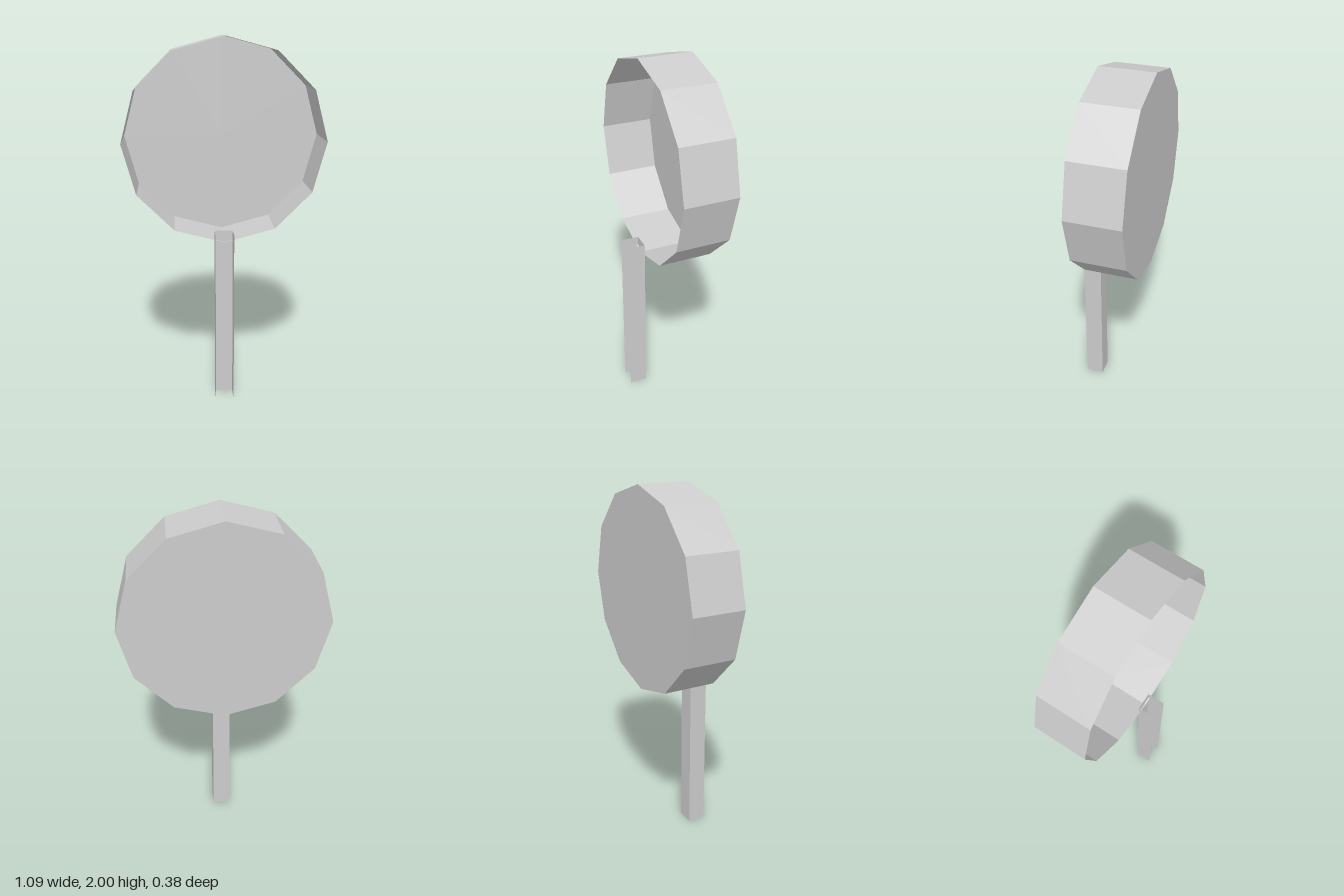
import * as THREE from 'three';

const material = new THREE.MeshStandardMaterial({
  color: 0xcccccc,
  flatShading: true,
  side: THREE.DoubleSide,
});

export function createModel() {
  const model = new THREE.Group();
  const add = (name, geometry, x, y, z) => {
    const mesh = new THREE.Mesh(geometry, material);
    mesh.name = name;
    mesh.position.set(x, y, z);
    model.add(mesh);
  };

  const radius = 0.546, sides = 12;
  const back = -0.19, front = 0.102;
  const centreY = 2 - radius;

  // Thin twelve-sided wall, open at the front, with a corner at the top
  const wall = new THREE.CylinderGeometry(radius, radius, front - back, sides, 1, true);
  wall.rotateX(Math.PI / 2);
  add('panWall', wall, 0, centreY, (front + back) / 2);

  // Flat base closing the back of the pan
  const base = new THREE.CircleGeometry(radius, sides);
  base.rotateY(Math.PI);
  add('panBase', base, 0, centreY, back);

  // Three-sided channel handle: open at the front, top and bottom
  const width = 0.1, height = 0.973;
  const corner = width * Math.SQRT1_2;
  const handle = new THREE.CylinderGeometry(
    corner, corner, height, 3, 1, true, Math.PI / 4, Math.PI * 1.5);
  add('handle', handle, -0.007, height / 2, 0.142);

  return model;
}
